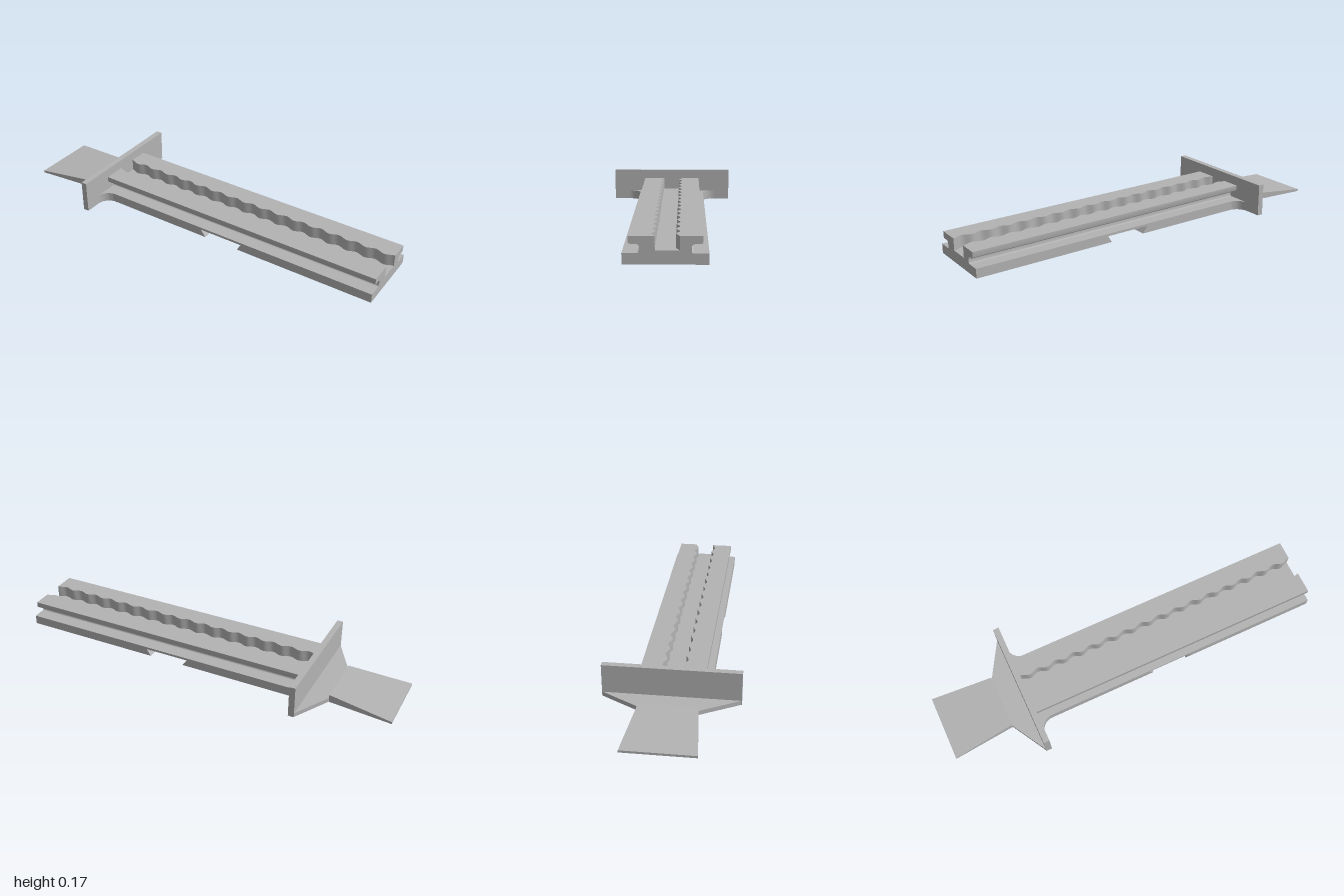
import * as THREE from 'three';
import { toCreasedNormals } from 'three/addons/utils/BufferGeometryUtils.js';

const grey = new THREE.MeshStandardMaterial({ color: 0xb3b3b3 });
grey.name = 'grey';

const START = -0.545, END = 1, PLATE_BACK = -0.575, NECK = -0.68;
const BASE_W = 0.178, BASE_H = 0.047, FLOOR = 0.058, TOP = 0.118, CHANNEL = 0.066;

const extrude = (shape, depth) =>
  new THREE.ExtrudeGeometry(shape, { depth, bevelEnabled: false, curveSegments: 8 });

// Outline in x,z raised from y0 to y1
function plan(points, y0, y1) {
  const shape = new THREE.Shape(points.map(([x, z]) => new THREE.Vector2(x, -z)));
  return extrude(shape, y1 - y0).rotateX(-Math.PI / 2).translate(0, y0, 0);
}

export function createModel() {
  const model = new THREE.Group();
  const add = (name, geometry) => {
    const mesh = new THREE.Mesh(toCreasedNormals(geometry, 0.5), grey);
    mesh.name = name;
    model.add(mesh);
  };

  // Base bar with a dovetail notch cut across its underside
  const bar = new THREE.Shape([
    [START, 0], [0.094, 0], [0.067, 0.035], [0.302, 0.035], [0.28, 0],
    [END, 0], [END, BASE_H], [START, BASE_H],
  ].map(([x, y]) => new THREE.Vector2(x, y)));
  add('baseBar', extrude(bar, BASE_W * 2).translate(0, 0, -BASE_W));

  // T-shaped rail with rounded undercuts and an open channel
  const rail = new THREE.Shape();
  rail.moveTo(-0.116, BASE_H);
  rail.lineTo(0.116, BASE_H);
  rail.quadraticCurveTo(0.106, BASE_H, 0.106, 0.058);
  rail.lineTo(0.106, 0.068);
  rail.quadraticCurveTo(0.106, 0.085, 0.123, 0.085);
  rail.lineTo(0.14, 0.085);
  rail.quadraticCurveTo(0.153, 0.085, 0.153, 0.097);
  rail.lineTo(0.153, TOP);
  rail.lineTo(CHANNEL, TOP);
  rail.lineTo(CHANNEL, FLOOR);
  rail.lineTo(-CHANNEL, FLOOR);
  rail.lineTo(-CHANNEL, TOP);
  rail.lineTo(-0.153, TOP);
  rail.lineTo(-0.153, 0.097);
  rail.quadraticCurveTo(-0.153, 0.085, -0.14, 0.085);
  rail.lineTo(-0.123, 0.085);
  rail.quadraticCurveTo(-0.106, 0.085, -0.106, 0.068);
  rail.lineTo(-0.106, 0.058);
  rail.quadraticCurveTo(-0.106, BASE_H, -0.116, BASE_H);
  add('rail', extrude(rail, END - START).rotateY(Math.PI / 2).translate(START, 0, 0));

  // Wavy channel walls, both following the same phase
  const WAVES = 16, STEPS = WAVES * 8;
  for (const side of [1, -1]) {
    const points = [[END, side * CHANNEL], [START, side * CHANNEL]];
    for (let i = 0; i <= STEPS; i++) {
      const wave = -0.0077 * Math.cos(((STEPS - i) / STEPS) * WAVES * Math.PI * 2);
      points.push([START + (END - START) * i / STEPS, side * 0.0505 + wave]);
    }
    add(side > 0 ? 'leftWavyWall' : 'rightWavyWall', plan(points, FLOOR, TOP));

    // Curved fillet joining the base bar to the cross plate
    const R = 0.065, fillet = [[START, side * BASE_W]];
    for (let i = 0; i <= 10; i++) {
      const a = (i / 10) * Math.PI / 2;
      fillet.push([START + R * (1 - Math.sin(a)), side * (BASE_W + R * (1 - Math.cos(a)))]);
    }
    add(side > 0 ? 'leftFillet' : 'rightFillet', plan(fillet, 0, BASE_H));
  }

  // Upright cross plate
  const plate = new THREE.BoxGeometry(START - PLATE_BACK, 0.165, 0.65);
  add('crossPlate', plate.translate((START + PLATE_BACK) / 2, 0.0825, 0));

  // Flared foot behind the plate
  add('flaredFoot', plan([
    [NECK, -0.138], [PLATE_BACK, -0.322], [PLATE_BACK, 0.322], [NECK, 0.138],
  ], 0, 0.022));

  // Tapered tongue, thinning towards its wide end
  const tongue = plan([[-1, -0.17], [NECK, -0.138], [NECK, 0.138], [-1, 0.17]], 0, 1);
  const p = tongue.attributes.position;
  for (let i = 0; i < p.count; i++) {
    if (p.getY(i) > 0.5) p.setY(i, p.getX(i) < -0.9 ? 0.011 : 0.04);
  }
  tongue.computeVertexNormals();
  add('tongue', tongue);

  return model;
}
